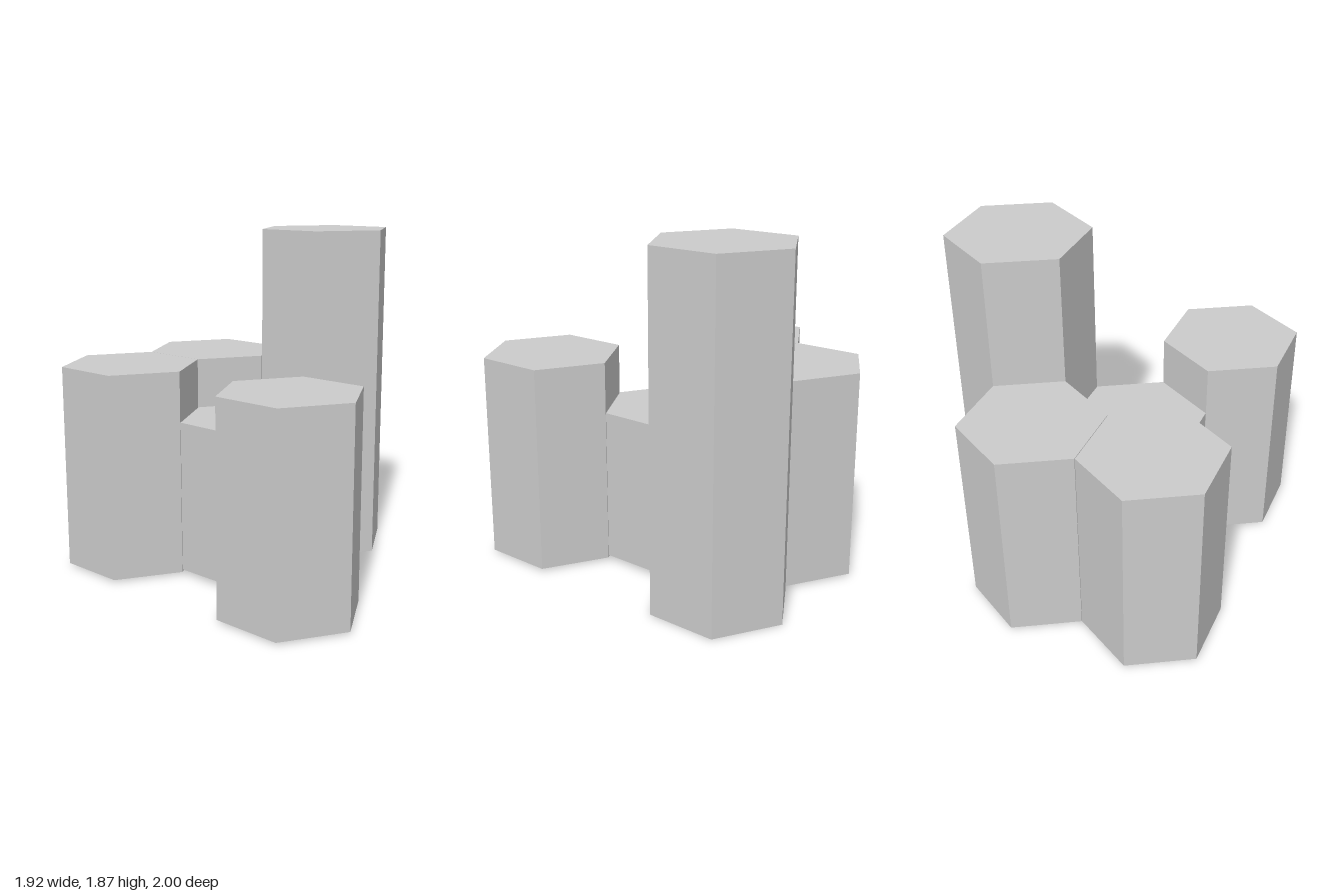
import * as THREE from 'three';

const RADIUS = 0.384;

export function createModel() {
  const group = new THREE.Group();
  group.name = 'hexagonalColumns';
  const material = new THREE.MeshStandardMaterial({ color: 0xcccccc, flatShading: true });

  // Six-sided prism with corners pointing along x
  function addColumn(name, x, z, bottom, top) {
    const geometry = new THREE.CylinderGeometry(RADIUS, RADIUS, top - bottom, 6, 1, false, Math.PI / 6);
    const column = new THREE.Mesh(geometry, material);
    column.name = name;
    column.position.set(x, (bottom + top) / 2, z);
    group.add(column);
  }

  // Columns on a honeycomb layout: name, x, z, bottom, top
  addColumn('centreColumn', 0, 0, 0.025, 0.866);
  addColumn('frontColumn', 0, 0.667, 0.01, 1.146);
  addColumn('backColumn', 0, -0.667, 0.01, 1.146);
  addColumn('rightColumn', -0.578, -0.333, 0.01, 1.146);
  addColumn('tallLeftColumn', 0.578, -0.333, 0, 1.872);

  return group;
}
